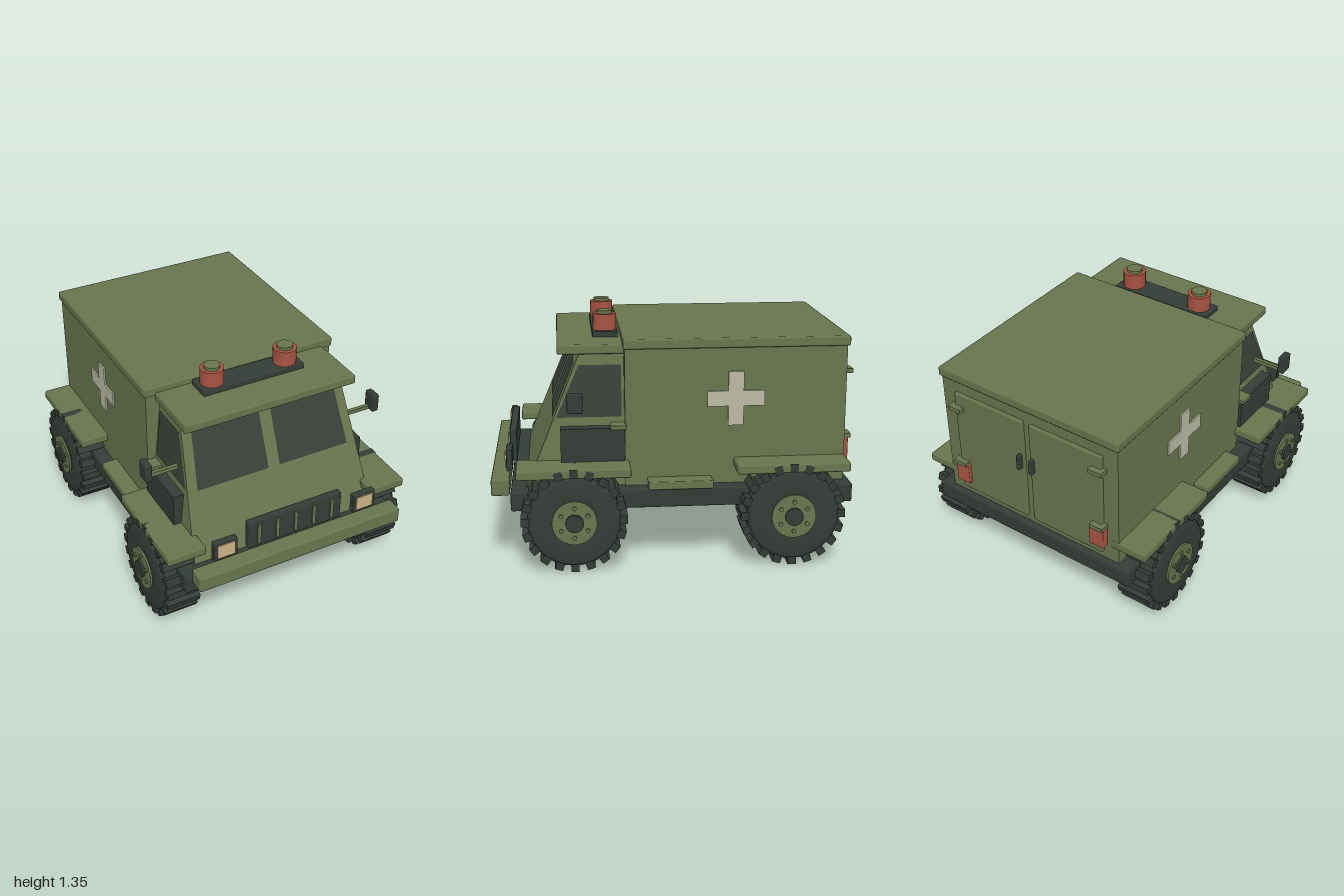
import * as THREE from 'three';
import { RoundedBoxGeometry } from 'three/addons/geometries/RoundedBoxGeometry.js';
import { toCreasedNormals } from 'three/addons/utils/BufferGeometryUtils.js';

const paint = (name, color) => Object.assign(new THREE.MeshStandardMaterial({ color }), { name });

export function createModel() {
  const root = new THREE.Group();
  root.name = 'fieldAmbulance';
  const green = paint('olive green', 0x68754d);
  const dark = paint('charcoal', 0x343c37);
  const glass = paint('dark glass', 0x394039);
  glass.side = THREE.DoubleSide;
  const red = paint('signal red', 0xa85343);
  const tan = paint('lamp tan', 0xcbb384);
  const pale = paint('pale cross', 0xbabaa3);

  const add = (name, geo, mat, parent = root) => {
    const m = new THREE.Mesh(geo, mat);
    m.name = name;
    parent.add(m);
    return m;
  };
  // Box given by its limits on each axis; bevel > 0 softens the edges
  const box = (name, mat, [x0, x1], [y0, y1], [z0, z1], bevel = 0, parent = root) => {
    const s = [x1 - x0, y1 - y0, z1 - z0];
    const geo = bevel ? new RoundedBoxGeometry(...s, 1, bevel) : new THREE.BoxGeometry(...s);
    const m = add(name, geo, mat, parent);
    m.position.set((x0 + x1) / 2, (y0 + y1) / 2, (z0 + z1) / 2);
    return m;
  };
  // The same box on both sides
  const pair = (name, mat, [x0, x1], y, z, bevel = 0) => {
    box(name + 'Left', mat, [x0, x1], y, z, bevel);
    box(name + 'Right', mat, [-x1, -x0], y, z, bevel);
  };
  const cyl = (name, mat, r, h, n, parent = root) =>
    add(name, toCreasedNormals(new THREE.CylinderGeometry(r, r, h, n), 0.6), mat, parent);
  const quad = (name, mat, pts) => {
    const geo = new THREE.BufferGeometry();
    geo.setAttribute('position', new THREE.Float32BufferAttribute(pts.flat(), 3));
    geo.setIndex([0, 1, 2, 0, 2, 3]);
    geo.computeVertexNormals();
    return add(name, geo, mat);
  };

  // Chassis, bumper and load body
  box('chassis', dark, [-0.66, 0.66], [0.325, 0.43], [-0.98, 0.895], 0.01);
  box('frontBumper', green, [-0.63, 0.63], [0.405, 0.5], [0.9, 1], 0.012);
  box('loadBody', green, [-0.578, 0.578], [0.42, 1.2], [-0.945, 0.27]);
  box('loadRoof', green, [-0.59, 0.59], [1.19, 1.245], [-0.96, 0.278], 0.01);

  // Cab: a box tapered at the sides and raked at the front
  const Y0 = 0.43, Y1 = 1.17;
  const sideX = y => 0.565 - 0.075 * (y - Y0) / (Y1 - Y0);
  const frontZ = y => 0.81 - 0.305 * (y - Y0) / (Y1 - Y0);
  const cab = new THREE.BoxGeometry(1, 1, 1);
  const p = cab.attributes.position;
  for (let i = 0; i < p.count; i++) {
    const y = p.getY(i) > 0 ? Y1 : Y0;
    p.setXYZ(i, Math.sign(p.getX(i)) * sideX(y), y, p.getZ(i) > 0 ? frontZ(y) : 0.26);
  }
  cab.computeVertexNormals();
  add('cab', cab, green);
  box('cabRoof', green, [-0.522, 0.522], [1.155, 1.208], [0.26, 0.63], 0.01);

  for (const s of [1, -1]) {
    const side = s > 0 ? 'Left' : 'Right';
    // Windows lie just proud of the cab faces
    const w = (x, y) => [s * x, y, frontZ(y) + 0.005];
    quad('windscreen' + side, glass, [w(0.035, 0.795), w(0.47, 0.795), w(0.442, 1.097), w(0.035, 1.097)]);
    const d = (y, z) => [s * (sideX(y) + 0.004), y, z];
    quad('sideWindow' + side, glass, [d(0.81, 0.285), d(0.81, 0.64), d(1.093, 0.515), d(1.093, 0.285)]);

    // Cross on the load body
    const cross = new THREE.Group();
    cross.name = 'cross' + side;
    root.add(cross);
    const cx = s > 0 ? [0.578, 0.587] : [-0.587, -0.578];
    box('crossBar', pale, cx, [0.868, 0.953], [-0.493, -0.178], 0, cross);
    box('crossUpper', pale, cx, [0.953, 1.06], [-0.378, -0.293], 0, cross);
    box('crossLower', pale, cx, [0.76, 0.868], [-0.378, -0.293], 0, cross);

    // Roof beacon
    cyl('beacon' + side, red, 0.066, 0.09, 20).position.set(s * 0.225, 1.285, 0.36);
    cyl('beaconCap' + side, green, 0.045, 0.02, 20).position.set(s * 0.225, 1.338, 0.36);
  }
  box('beaconBar', dark, [-0.31, 0.31], [1.205, 1.24], [0.29, 0.432], 0.006);

  // Cab doors and mirrors
  pair('doorPanel', dark, [0.5, 0.594], [0.575, 0.762], [0.275, 0.62]);
  pair('doorHandle', green, [0.52, 0.612], [0.757, 0.778], [0.262, 0.35]);
  pair('mirrorArm', green, [0.5, 0.7], [0.88, 0.903], [0.52, 0.542]);
  pair('mirror', dark, [0.69, 0.73], [0.88, 0.988], [0.5, 0.583], 0.008);

  // Grille and headlights
  box('grille', dark, [-0.29, 0.29], [0.502, 0.675], [0.865, 0.905], 0.006);
  for (let i = -2; i <= 2; i++) {
    const x = i * 0.114;
    box('grilleSlat', green, [x - 0.01, x + 0.01], [0.525, 0.65], [0.9, 0.914]);
  }
  pair('headlightHousing', dark, [0.364, 0.505], [0.508, 0.627], [0.885, 0.92], 0.005);
  pair('headlightLens', tan, [0.382, 0.487], [0.528, 0.612], [0.918, 0.927]);

  // Mudguards and side steps
  pair('frontMudguard', green, [0.52, 0.744], [0.524, 0.576], [0.247, 0.862], 0.01);
  pair('rearMudguard', green, [0.52, 0.744], [0.524, 0.576], [-0.948, -0.327], 0.01);
  pair('sideStep', green, [0.56, 0.672], [0.428, 0.474], [-0.205, 0.15], 0.006);

  // Rear doors, hinges, handles and tail lights
  pair('rearDoor', green, [0.022, 0.485], [0.475, 1.12], [-0.966, -0.94], 0.006);
  pair('rearHandle', dark, [0.03, 0.052], [0.815, 0.905], [-0.995, -0.96], 0.005);
  pair('upperHinge', green, [0.425, 0.508], [1.02, 1.045], [-0.998, -0.94]);
  pair('lowerHinge', green, [0.425, 0.508], [0.65, 0.675], [-0.998, -0.94]);
  pair('tailLight', red, [0.415, 0.505], [0.527, 0.662], [-0.986, -0.94], 0.005);

  // Wheels: tyre, tread lugs, hub, cap and bolts, turned about the y axis then laid over
  const profile = [[0.11, -0.112], [0.165, -0.12], [0.24, -0.105], [0.255, -0.09],
    [0.255, 0.09], [0.24, 0.105], [0.165, 0.12], [0.11, 0.112]].map(q => new THREE.Vector2(...q));
  const tyreGeo = toCreasedNormals(new THREE.LatheGeometry(profile, 28), 0.5);
  const lugGeo = new THREE.BoxGeometry(0.048, 0.2, 0.045);
  const makeWheel = (name, x, z) => {
    const wheel = new THREE.Group();
    wheel.name = name;
    add('tyre', tyreGeo, dark, wheel);
    for (let i = 0; i < 20; i++) {
      const a = i / 20 * Math.PI * 2;
      const lug = add('treadLug', lugGeo, dark, wheel);
      lug.position.set(Math.cos(a) * 0.264, 0, Math.sin(a) * 0.264);
      lug.rotation.y = -a;
    }
    cyl('hub', green, 0.122, 0.25, 24, wheel);
    cyl('hubCap', dark, 0.05, 0.28, 14, wheel);
    for (let i = 0; i < 6; i++) {
      const a = i / 6 * Math.PI * 2;
      cyl('wheelBolt', green, 0.012, 0.27, 8, wheel)
        .position.set(Math.cos(a) * 0.083, 0, Math.sin(a) * 0.083);
    }
    wheel.rotation.z = Math.PI / 2;
    wheel.position.set(x, 0.288, z);
    root.add(wheel);
  };
  for (const s of [1, -1]) {
    const side = s > 0 ? 'Left' : 'Right';
    makeWheel('frontWheel' + side, s * 0.645, 0.555);
    makeWheel('rearWheel' + side, s * 0.645, -0.635);
  }
  return root;
}
